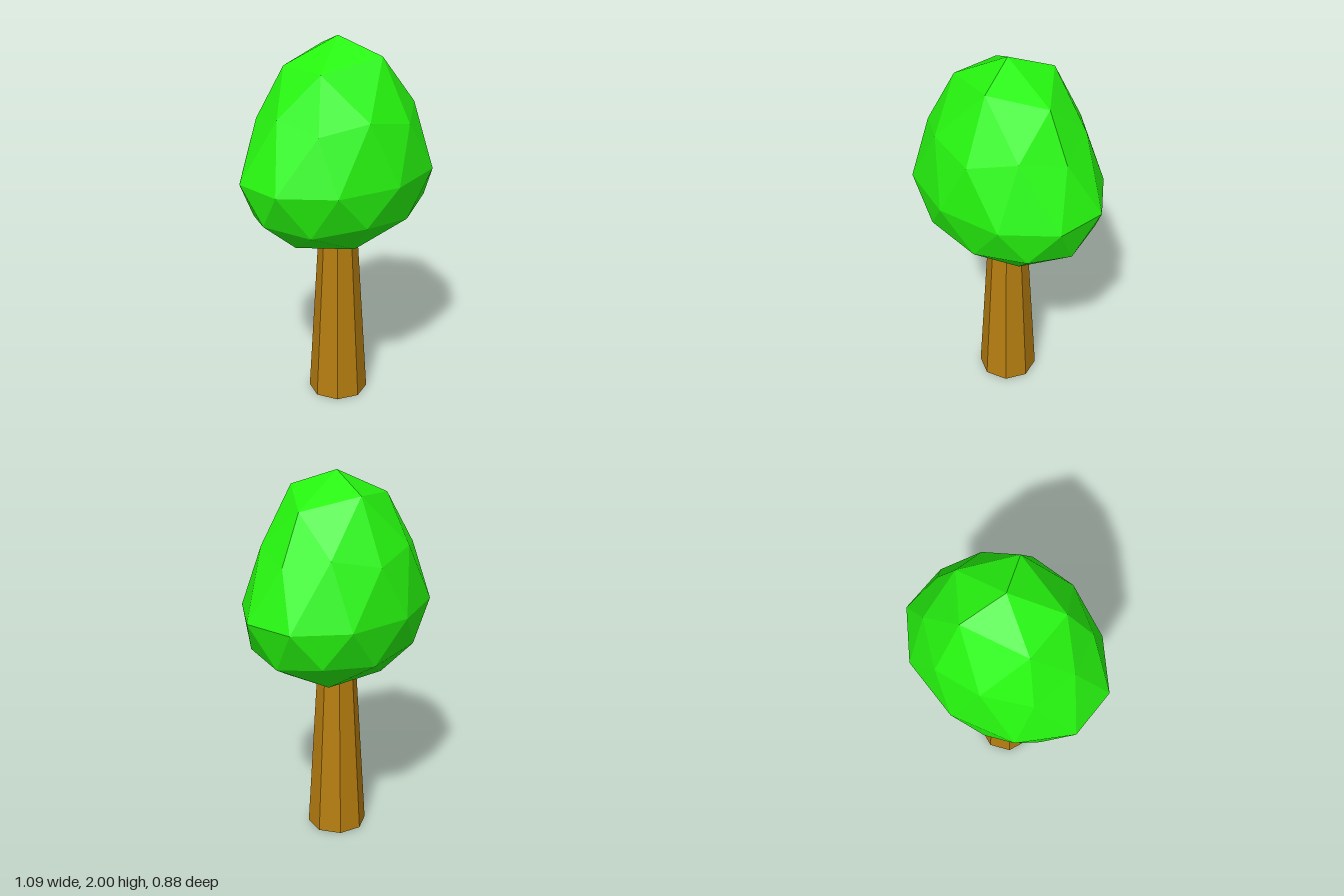
import * as THREE from 'three';

// Low-poly ball with a vertex at each pole, reshaped ring by ring into an egg
function crownGeometry() {
  const geo = new THREE.IcosahedronGeometry(1, 1);
  geo.rotateX(-Math.atan((1 + Math.sqrt(5)) / 2));
  geo.rotateY(Math.PI / 2);
  const midY = 1.31;
  const pos = geo.attributes.position;
  for (let i = 0; i < pos.count; i++) {
    let x = pos.getX(i) * 0.573;
    const h = pos.getY(i);
    const z = pos.getZ(i) * 0.4425;
    let y;
    if (h > 0.95) y = 2;                                   // tip
    else if (h > 0.7) y = 1.945 - 0.34 * Math.abs(x);      // cap ring, sloping to the sides
    else if (h > 0.2) { x *= 0.84; y = midY + h * 0.635; } // narrowed shoulder
    else y = midY + h * 0.437;                             // flattened underside
    pos.setXYZ(i, x, y, z);
  }
  geo.computeVertexNormals();
  return geo;
}

export function createModel() {
  const tree = new THREE.Group();
  tree.name = 'tree';

  // Tapered eight-sided trunk, its top hidden in the crown
  const trunk = new THREE.Mesh(
    new THREE.CylinderGeometry(0.1, 0.16, 1, 8),
    new THREE.MeshStandardMaterial({ color: 0xb57d10, flatShading: true })
  );
  trunk.name = 'trunk';
  trunk.position.y = 0.5;
  tree.add(trunk);

  // Faceted leafy crown
  const crown = new THREE.Mesh(
    crownGeometry(),
    new THREE.MeshStandardMaterial({ color: 0x26f50f, flatShading: true })
  );
  crown.name = 'crown';
  tree.add(crown);

  return tree;
}
